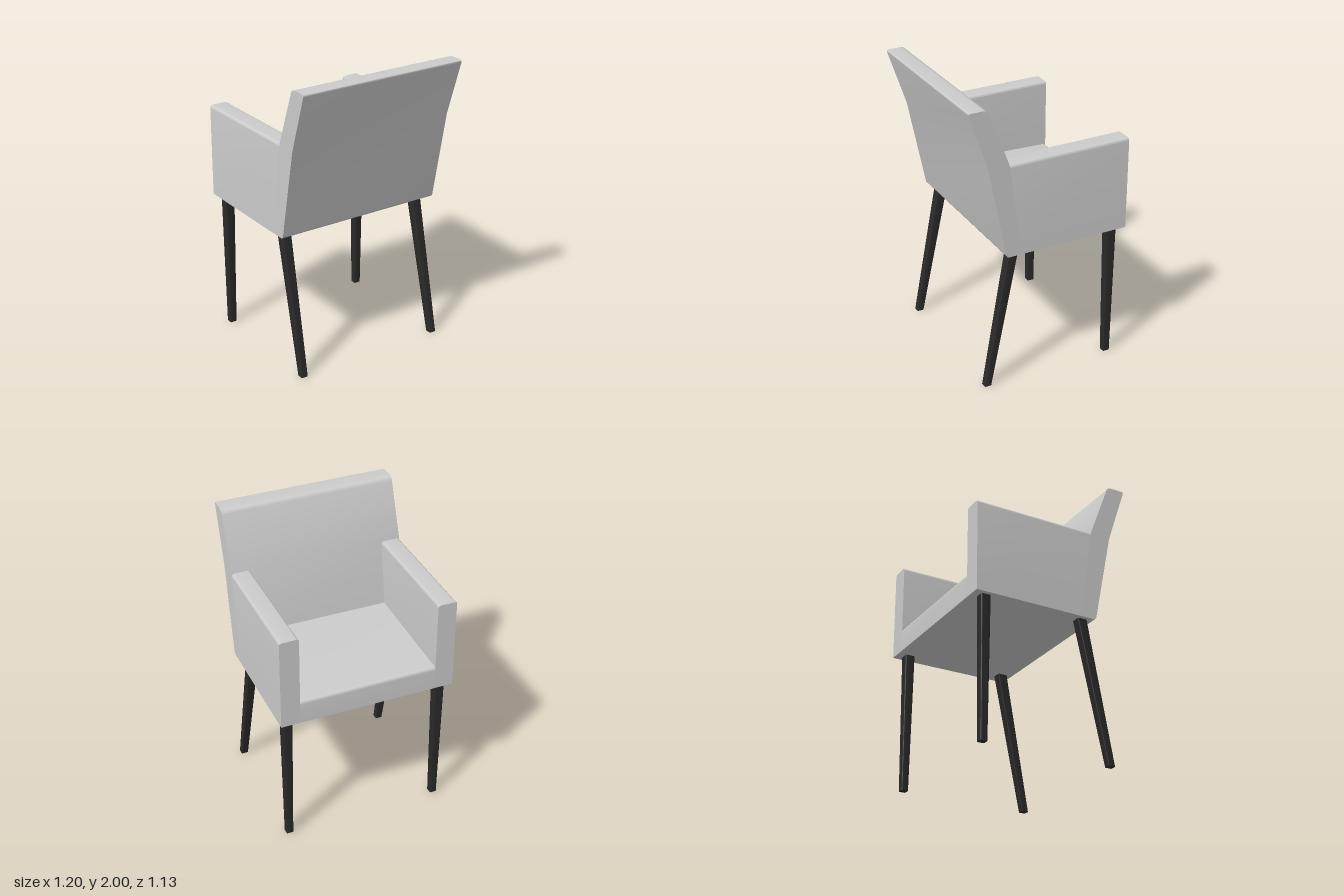
import * as THREE from 'three';
import { toCreasedNormals } from 'three/addons/utils/BufferGeometryUtils.js';

const fabric = new THREE.MeshStandardMaterial({ color: 0xcccccc });
const darkWood = new THREE.MeshStandardMaterial({ color: 0x2a2a2a });

const BASE = 0.965, ARM_TOP = 1.605, FRONT = -0.565;
// z of the inner face of the backrest below arm height
const innerBack = (y) => 0.295 - (ARM_TOP - y) * 0.146;

// Closed shape from [x, y, cornerRadius] points
function roundedShape(points) {
  const shape = new THREE.Shape();
  const n = points.length;
  points.forEach(([x, y, r = 0], i) => {
    const p = new THREE.Vector2(x, y);
    const toward = (q) => new THREE.Vector2(q[0], q[1]).sub(p).setLength(r).add(p);
    const a = toward(points[(i + n - 1) % n]);
    const b = toward(points[(i + 1) % n]);
    if (i === 0) shape.moveTo(a.x, a.y);
    else shape.lineTo(a.x, a.y);
    if (r) shape.quadraticCurveTo(x, y, b.x, b.y);
  });
  shape.closePath();
  return shape;
}

function extrude(points, depth) {
  return new THREE.ExtrudeGeometry(roundedShape(points), { depth, bevelEnabled: false, curveSegments: 5 });
}

// Move every vertex by a rule, then rebuild the normals
function reshape(geometry, rule) {
  const pos = geometry.attributes.position;
  const v = new THREE.Vector3();
  for (let i = 0; i < pos.count; i++) {
    rule(v.fromBufferAttribute(pos, i));
    pos.setXYZ(i, v.x, v.y, v.z);
  }
  geometry.computeVertexNormals();
  return geometry;
}

function addMesh(group, name, geometry, material) {
  const mesh = new THREE.Mesh(toCreasedNormals(geometry, 0.5), material);
  mesh.name = name;
  group.add(mesh);
}

// Side profile in (z, y), swept across the width
function acrossWidth(points, width) {
  return extrude(points, width).translate(0, 0, -width / 2).rotateY(-Math.PI / 2);
}

// Tapered, soft-edged square leg between two centre points
function leg(top, bottom) {
  const r = 0.3;
  const geometry = extrude([[-1, -1, r], [1, -1, r], [1, 1, r], [-1, 1, r]], 1).rotateX(-Math.PI / 2);
  return reshape(geometry, (v) => {
    const half = THREE.MathUtils.lerp(0.024, 0.034, v.y);
    v.x = THREE.MathUtils.lerp(bottom[0], top[0], v.y) + v.x * half;
    v.z = THREE.MathUtils.lerp(bottom[1], top[1], v.y) + v.z * half;
    v.y *= BASE;
  });
}

export function createModel() {
  const chair = new THREE.Group();
  chair.name = 'armchair';

  // Backrest, kinked at arm height
  addMesh(chair, 'backrest', acrossWidth([
    [innerBack(BASE), BASE], [0.313, BASE, 0.02], [0.44, 1.6], [0.572, 2, 0.015],
    [0.442, 2, 0.03], [0.295, ARM_TOP],
  ], 1.2), fabric);

  // Seat slab with a soft front edge
  addMesh(chair, 'seat', acrossWidth([
    [FRONT, BASE], [innerBack(BASE), BASE], [innerBack(1.155), 1.155], [FRONT, 1.13, 0.025],
  ], 0.94), fabric);

  // Arms, their rear ends slanted to meet the backrest
  for (const side of [-1, 1]) {
    const geometry = extrude([
      [-0.065, BASE], [0.065, BASE], [0.065, ARM_TOP, 0.02], [-0.065, ARM_TOP, 0.02],
    ], 1);
    reshape(geometry, (v) => {
      v.x += side * 0.535;
      v.z = v.z > 0.5 ? innerBack(v.y) : FRONT;
    });
    addMesh(chair, side > 0 ? 'leftArm' : 'rightArm', geometry, fabric);
  }

  // Straight legs under the open side, raked legs under the backrest
  const legs = new THREE.Group();
  legs.name = 'legs';
  chair.add(legs);
  for (const side of [-1, 1]) {
    const x = side * 0.536;
    const label = side > 0 ? 'left' : 'right';
    addMesh(legs, label + 'FrontLeg', leg([x, -0.48], [x, -0.482]), darkWood);
    const topX = side > 0 ? 0.505 : x;
    addMesh(legs, label + 'BackLeg', leg([topX, 0.23], [side * 0.533, 0.43]), darkWood);
  }
  return chair;
}
